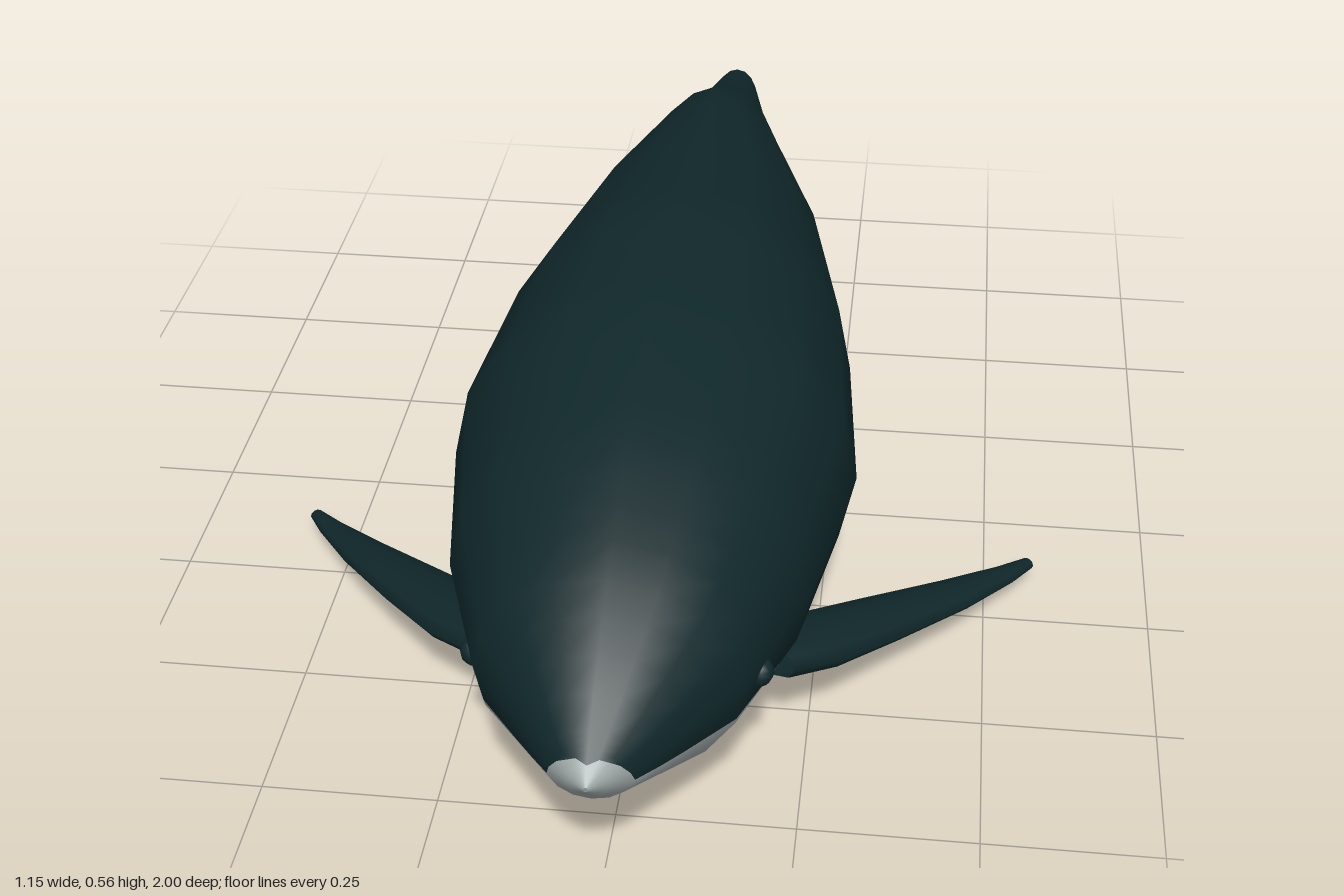
import * as THREE from 'three';
import { mergeVertices } from 'three/addons/utils/BufferGeometryUtils.js';

const skin = new THREE.MeshStandardMaterial({ color: 0x10282b, side: THREE.DoubleSide });
skin.name = 'dark skin';
const belly = new THREE.MeshStandardMaterial({ color: 0xa0a9a9, side: THREE.DoubleSide });
belly.name = 'pale belly';

// Body stations from tail to nose: z, top y, bottom y, half width
const STATIONS = [
  [-1, 0.315, 0.21, 0.037], [-0.84, 0.36, 0.18, 0.068], [-0.62, 0.455, 0.128, 0.115],
  [-0.34, 0.5, 0.062, 0.205], [0, 0.553, 0.006, 0.272], [0.3, 0.556, 0, 0.298],
  [0.58, 0.512, 0.05, 0.252], [0.79, 0.437, 0.115, 0.18], [0.955, 0.325, 0.215, 0.06],
  [0.985, 0.296, 0.245, 0.028], [1, 0.273, 0.266, 0.003],
];

// Height of the colour line along the body: z, y
const LINE = [
  [-1, 0.275], [-0.6, 0.27], [-0.45, 0.26], [-0.2, 0.215], [0, 0.172], [0.2, 0.155],
  [0.42, 0.152], [0.58, 0.19], [0.79, 0.222], [0.9, 0.238], [0.955, 0.252],
  [0.975, 0.298], [1, 0.32],
];

// Straight-line lookup of column c at z
function sample(table, z, c) {
  let i = 0;
  while (i < table.length - 2 && z > table[i + 1][0]) i++;
  const [a, b] = [table[i], table[i + 1]];
  return THREE.MathUtils.lerp(a[c], b[c], (z - a[0]) / (b[0] - a[0]));
}

// Surface through rows of points
function loft(rows, normals) {
  const n = rows[0].length, index = [];
  for (let i = 0; i < rows.length - 1; i++) {
    for (let k = 0; k < n - 1; k++) {
      const a = i * n + k, d = a + n;
      index.push(a, a + 1, d + 1, a, d + 1, d);
    }
  }
  const geo = new THREE.BufferGeometry();
  geo.setAttribute('position', new THREE.Float32BufferAttribute(rows.flat(2), 3));
  geo.setIndex(index);
  if (normals) {
    geo.setAttribute('normal', new THREE.Float32BufferAttribute(normals, 3));
    return geo;
  }
  const merged = mergeVertices(geo);
  merged.computeVertexNormals();
  return merged;
}

function ringAt(z) {
  const top = sample(STATIONS, z, 1), bottom = sample(STATIONS, z, 2);
  return { cy: (top + bottom) / 2, ry: (top - bottom) / 2, rx: sample(STATIONS, z, 3) };
}

// One colour half of the sixteen-sided body, cut along the colour line
function bodyHalf(upper) {
  const zs = [-1];
  for (let i = 1; i < STATIONS.length; i++) {
    for (let j = 1; j <= 4; j++) zs.push(THREE.MathUtils.lerp(STATIONS[i - 1][0], STATIONS[i][0], j / 4));
  }
  const step = Math.PI / 8, half = Math.PI / 2, normals = [];
  const rows = zs.map((z) => {
    const { cy, ry, rx } = ringAt(z);
    const z0 = Math.max(-1, z - 0.08), z1 = Math.min(1, z + 0.08);
    const p = ringAt(z0), q = ringAt(z1), dz = z1 - z0;
    const cut = Math.asin(THREE.MathUtils.clamp((sample(LINE, z, 1) - cy) / ry, -1, 1));
    const row = [];
    for (let k = -8; k <= 8; k++) {
      const s = Math.sign(k), m = Math.abs(k) * step;
      const t = upper
        ? half + s * (half - Math.max(cut, half - m))
        : -half + s * (half + Math.min(cut, m - half));
      const j = Math.floor(t / step + 1e-6), f = t / step - j;
      const c = THREE.MathUtils.lerp(Math.cos(j * step), Math.cos((j + 1) * step), f);
      const v = THREE.MathUtils.lerp(Math.sin(j * step), Math.sin((j + 1) * step), f);
      row.push([rx * c, cy + ry * v, z]);
      const nz = -(c * c * (q.rx - p.rx) / rx + v * (q.cy - p.cy) / ry + v * v * (q.ry - p.ry) / ry) / dz;
      normals.push(...new THREE.Vector3(c / rx, v / ry, nz).normalize().toArray());
    }
    return row;
  });
  return loft(rows, normals);
}

// Swept flipper; side is +1 for left and -1 for right
function flipper(side) {
  // centre x, y, z, half chord, half thickness
  const sections = [
    [0.19, 0.165, 0.58, 0.055, 0.03], [0.25, 0.145, 0.52, 0.062, 0.03],
    [0.34, 0.117, 0.425, 0.052, 0.024], [0.45, 0.077, 0.3, 0.035, 0.018],
    [0.53, 0.047, 0.2, 0.019, 0.012], [0.567, 0.035, 0.15, 0.01, 0.009],
    [0.57, 0.034, 0.145, 0, 0],
  ];
  const rows = sections.map(([x, y, z, chord, thick]) => {
    const row = [];
    for (let k = 0; k <= 10; k++) {
      const t = (k % 10) * Math.PI / 5, c = Math.cos(t) * chord;
      row.push([side * (x + 0.78 * c), y - side * Math.sin(t) * thick, z + 0.62 * c]);
    }
    return row;
  });
  return loft(rows);
}

export function createModel() {
  const model = new THREE.Group();
  model.name = 'whale';
  const add = (name, geometry, material) => {
    const mesh = new THREE.Mesh(geometry, material);
    mesh.name = name;
    model.add(mesh);
    return mesh;
  };
  add('back', bodyHalf(true), skin);
  add('belly', bodyHalf(false), belly);
  for (const [label, side] of [['left', 1], ['right', -1]]) {
    add(label + 'Flipper', flipper(side), skin);
    add(label + 'Eye', new THREE.SphereGeometry(0.022, 10, 8), skin).position.set(side * 0.19, 0.25, 0.722);
  }
  return model;
}
